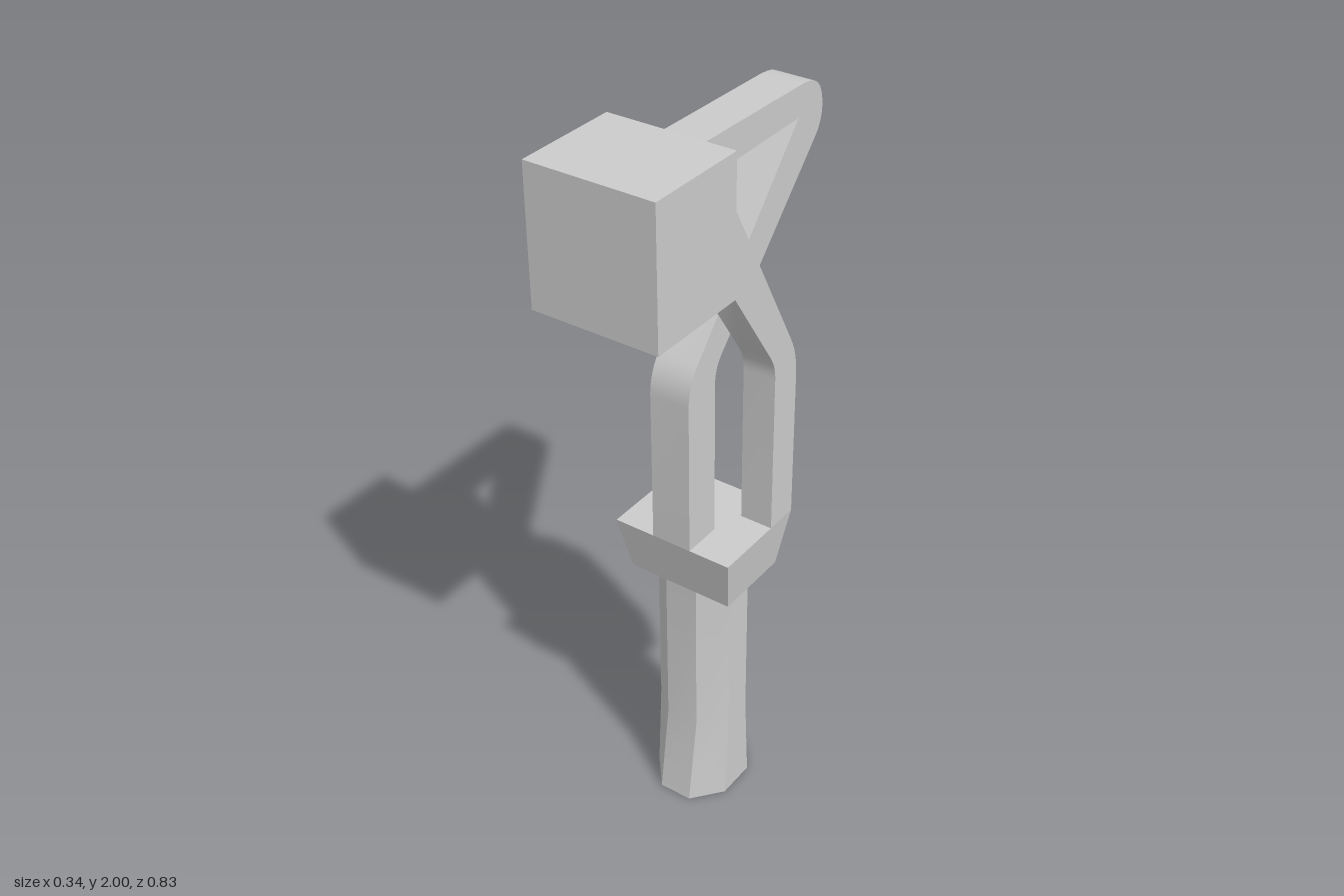
import * as THREE from 'three';
import { toCreasedNormals } from 'three/addons/utils/BufferGeometryUtils.js';

const material = new THREE.MeshStandardMaterial({ color: 0xcccccc });

function part(name, geometry) {
  const mesh = new THREE.Mesh(toCreasedNormals(geometry, 0.6), material);
  mesh.name = name;
  return mesh;
}

// Extrudes a side profile of [z, y, cornerRadius] points from x0 to x1
function sideProfile(points, x0, x1) {
  const pts = points.map(([z, y]) => new THREE.Vector2(-z, y));
  const n = pts.length;
  const shape = new THREE.Shape();
  pts.forEach((p, i) => {
    const r = points[i][2] || 0;
    const toward = (q) => p.clone().add(q.clone().sub(p).setLength(r));
    const a = r ? toward(pts[(i + n - 1) % n]) : p;
    if (i === 0) shape.moveTo(a.x, a.y);
    else shape.lineTo(a.x, a.y);
    if (r) {
      const b = toward(pts[(i + 1) % n]);
      shape.quadraticCurveTo(p.x, p.y, b.x, b.y);
    }
  });
  const geometry = new THREE.ExtrudeGeometry(shape, { depth: x1 - x0, bevelEnabled: false, curveSegments: 6 });
  return geometry.rotateY(Math.PI / 2).translate(x0, 0, 0);
}

// Octagonal grip, flared front to back towards the bottom
function gripGeometry() {
  const geometry = new THREE.CylinderGeometry(1, 1, 2, 8, 2, false, Math.PI / 8);
  const pos = geometry.attributes.position;
  for (let i = 0; i < pos.count; i++) {
    const level = Math.round(pos.getY(i)) + 1;
    pos.setXYZ(i, pos.getX(i) * 0.123, [0, 0.26, 0.73][level], pos.getZ(i) * (level === 0 ? 0.148 : 0.108));
  }
  return geometry;
}

// Block that narrows towards its lower face
function collarGeometry() {
  const geometry = new THREE.BoxGeometry(2, 2, 2);
  const pos = geometry.attributes.position;
  for (let i = 0; i < pos.count; i++) {
    const top = pos.getY(i) > 0;
    pos.setXYZ(i, pos.getX(i) * (top ? 0.172 : 0.15), top ? 0.89 : 0.73, pos.getZ(i) * (top ? 0.145 : 0.11) - 0.005);
  }
  return geometry;
}

export function createModel() {
  const model = new THREE.Group();
  model.name = 'hammer';

  model.add(part('grip', gripGeometry()));
  model.add(part('collar', collarGeometry()));
  model.add(part('headBlock', new THREE.BoxGeometry(0.344, 0.36, 0.29).translate(0, 1.82, 0.267)));

  // Pair of outer arms leaning forward into the head
  const armProfile = [
    [-0.15, 0.89], [-0.15, 1.365, 0.06], [0.122, 1.86],
    [0.122, 1.64], [-0.055, 1.375, 0.04], [-0.055, 0.89],
  ];
  model.add(part('leftArm', sideProfile(armProfile, 0.081, 0.172)));
  model.add(part('rightArm', sideProfile(armProfile, -0.172, -0.081)));

  // Central arm leaning back, folding into the top bar and the head mount
  const centreProfile = [
    [0.14, 0.89], [0.14, 1.375, 0.06], [-0.31, 1.885], [-0.03, 1.88],
    [-0.03, 1.745], [0.122, 1.64], [0.122, 1.97], [-0.32, 1.965],
    [-0.405, 1.957, 0.06], [-0.422, 1.845, 0.05], [0.03, 1.37, 0.04], [0.03, 0.89],
  ];
  model.add(part('centreArm', sideProfile(centreProfile, -0.056, 0.056)));

  return model;
}
